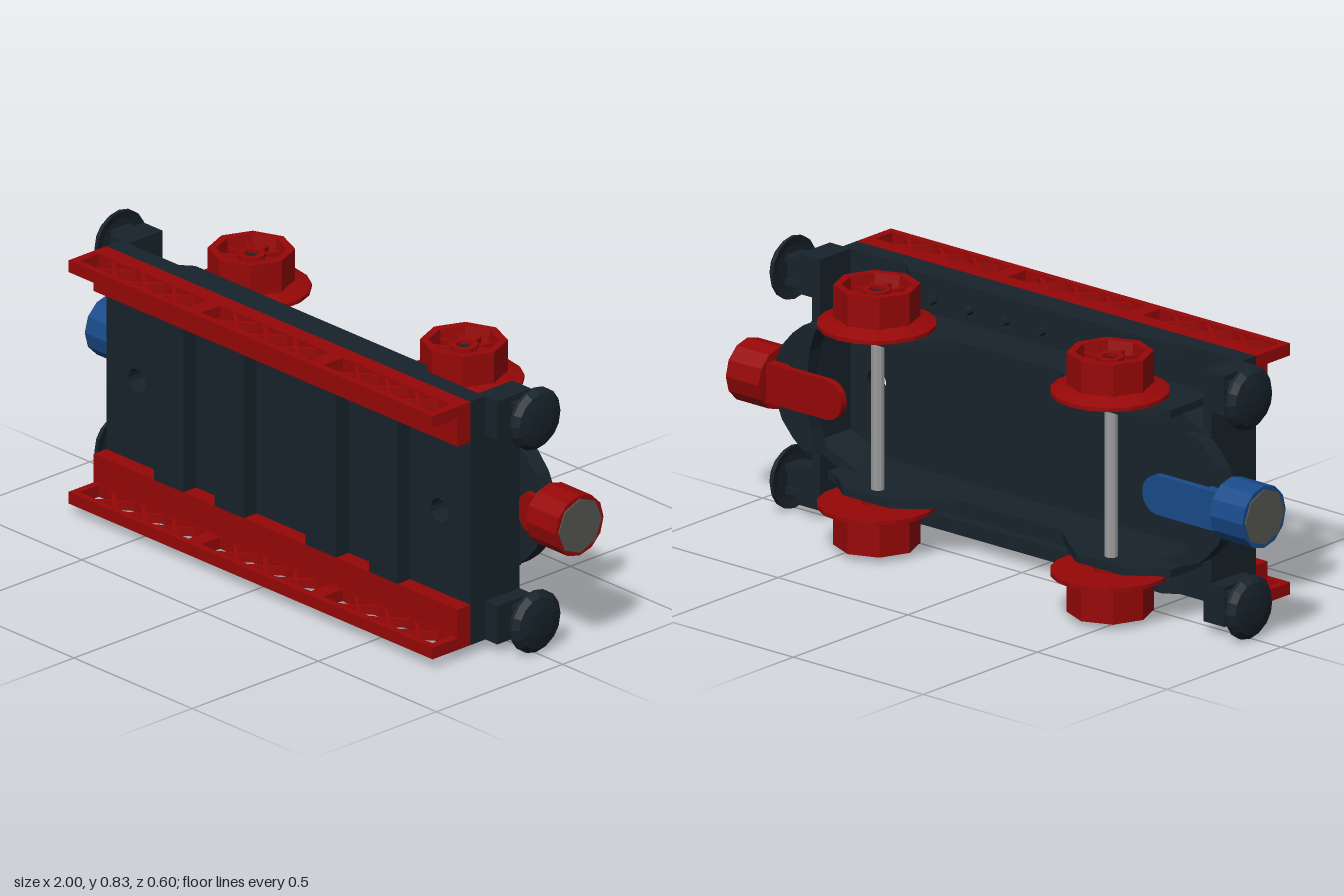
import * as THREE from 'three';

const C = 0.418; // height of the wagon's long axis, the wagon lies on its side
const mat = (color) => new THREE.MeshStandardMaterial({ color, flatShading: true });
const dark = mat(0x17232b), red = mat(0x970707), blue = mat(0x194b8a);
const steel = mat(0x9c9c9c), magnet = mat(0x575852);

function add(parent, name, geo, material, x = 0, y = 0, z = 0) {
  const m = new THREE.Mesh(geo, material);
  m.name = name;
  m.position.set(x, y, z);
  parent.add(m);
  return m;
}

// Box given by its limits on each axis
function box(parent, name, material, [x0, x1], [y0, y1], [z0, z1]) {
  return add(parent, name, new THREE.BoxGeometry(x1 - x0, y1 - y0, z1 - z0), material,
    (x0 + x1) / 2, (y0 + y1) / 2, (z0 + z1) / 2);
}

const poly = (pts) => new THREE.Shape(pts.map(([x, y]) => new THREE.Vector2(x, y)));
const rect = (x0, x1, y0, y1) => poly([[x0, y0], [x1, y0], [x1, y1], [x0, y1]]);

// Outline in x,y extruded along z
function extrudeZ(shape, z0, z1) {
  const g = new THREE.ExtrudeGeometry(shape, { depth: z1 - z0, bevelEnabled: false, curveSegments: 8 });
  return g.translate(0, 0, z0);
}

// Outline in x,z extruded along y
function extrudeY(shape, y0, y1) {
  const g = new THREE.ExtrudeGeometry(shape, { depth: y1 - y0, bevelEnabled: false });
  return g.rotateX(Math.PI / 2).translate(0, y1, 0);
}

const lathe = (pts, n) => new THREE.LatheGeometry(pts.map(([r, y]) => new THREE.Vector2(r, y)), n);
const cylX = (r, x0, x1, n) =>
  new THREE.CylinderGeometry(r, r, x1 - x0, n).rotateZ(-Math.PI / 2).translate((x0 + x1) / 2, 0, 0);

// Bar along x with a rounded inner end
function tongue(x0, x1, r) {
  const s = new THREE.Shape();
  s.moveTo(x1, -r).lineTo(x1, r);
  s.absarc(x0 + r, 0, r, Math.PI / 2, Math.PI * 1.5);
  return s;
}

// Wheel with round flange, eight-sided tread, deep dish and spokes; its axis is y
function makeWheel() {
  const w = new THREE.Group();
  w.name = 'wheel';
  add(w, 'flange', lathe([[0, 0.245], [0.045, 0.245], [0.045, 0.27], [0.175, 0.27], [0.175, 0.282],
    [0.122, 0.3], [0, 0.3]], 18), red);
  add(w, 'tread', lathe([[0.127, 0.285], [0.127, 0.397], [0.102, 0.397], [0.092, 0.335], [0, 0.335]], 8), red);
  for (let i = 0; i < 10; i++) {
    const a = i * Math.PI / 5;
    const spoke = add(w, 'spoke', new THREE.BoxGeometry(0.064, 0.04, 0.014), red,
      Math.cos(a) * 0.066, 0.352, Math.sin(a) * 0.066);
    spoke.rotation.y = -a;
  }
  add(w, 'hub', lathe([[0.042, 0.335], [0.042, 0.383], [0.024, 0.383], [0.024, 0.36], [0, 0.36]], 10), red);
  add(w, 'axleCap', new THREE.CylinderGeometry(0.018, 0.018, 0.02, 8), dark, 0, 0.365, 0);
  return w;
}

// Bumper at the +x end
function makeBumper() {
  const b = new THREE.Group();
  b.name = 'bumper';
  box(b, 'bumperBlock', dark, [0.76, 0.82], [0.262, 0.384], [-0.045, 0.09]);
  box(b, 'bumperShaft', dark, [0.82, 0.885], [0.29, 0.35], [-0.03, 0.02]);
  for (const y of [0.285, 0.355])
    box(b, 'bumperWing', dark, [0.82, 0.88], [y - 0.01, y + 0.01], [-0.04, 0.035]);
  add(b, 'bumperDisc', lathe([[0, 0.878], [0.07, 0.878], [0.096, 0.872], [0.096, 0.883], [0.08, 0.899],
    [0.045, 0.907], [0, 0.91]], 16).rotateZ(-Math.PI / 2), dark, 0, 0.32, -0.005);
  return b;
}

// One long side: red ledge, lattice rail, wheel frame, bolts
function makeSide() {
  const s = new THREE.Group();
  s.name = 'side';
  box(s, 'ledge', red, [-0.77, 0.77], [0.257, 0.384], [0.15, 0.2]);

  const rail = rect(-0.77, 0.77, 0.2, 0.3);
  const bays = [[-0.745, -0.285], [-0.232, 0.232], [0.285, 0.745]];
  for (const [a, b] of bays) rail.holes.push(rect(a, b, 0.203, 0.278));
  add(s, 'rail', extrudeY(rail, 0.347, 0.384), red);
  for (const [a, b] of bays) {
    for (let i = -1; i <= 1; i++) for (const dir of [-1, 1]) {
      const bar = add(s, 'latticeBar', new THREE.BoxGeometry(0.125, 0.026, 0.013), red,
        (a + b) / 2 + i * 0.127, 0.365, 0.24);
      bar.rotation.y = dir * 0.7;
    }
  }

  // Frame plate rising around both axles
  const half = [[0.2, -0.05], [0.3, -0.13], [0.36, -0.172], [0.54, -0.172], [0.62, -0.11], [0.66, -0.1],
    [0.66, 0.1]];
  const frame = poly([...half, ...half.map(([x, z]) => [-x, z]).reverse()]);
  add(s, 'wheelFrame', extrudeY(frame, 0.231, 0.257), dark);

  // Outer lip that hides the row of bolts
  const lip = poly([[-0.54, 0.1], [-0.49, 0.06], [0.49, 0.06], [0.54, 0.1]]);
  add(s, 'lip', extrudeY(lip, 0.34, 0.384), dark);
  for (let i = 0; i < 7; i++)
    add(s, 'bolt', new THREE.CylinderGeometry(0.014, 0.014, 0.03, 8).rotateX(Math.PI / 2), dark,
      -0.42 + i * 0.14, 0.3, 0.08);

  for (const x of [-0.45, 0.45]) {
    const w = makeWheel();
    w.position.set(x, 0, -0.125);
    s.add(w);
  }
  for (const d of [1, -1]) {
    const b = makeBumper();
    b.scale.x = d;
    s.add(b);
  }
  return s;
}

// Round end apron and coupler at the +x end
function makeEnd(color) {
  const e = new THREE.Group();
  e.name = 'end';
  const apron = poly([[0.71, -0.192], [0.76, -0.192], [0.8, -0.16], [0.84, -0.115], [0.865, -0.06], [0.872, 0],
    [0.865, 0.06], [0.84, 0.115], [0.8, 0.16], [0.76, 0.192], [0.71, 0.192], [0.735, 0.12], [0.748, 0], [0.735, -0.12]]);
  add(e, 'apron', extrudeZ(apron, -0.096, -0.045), dark);

  const c = new THREE.Group();
  c.name = 'coupler';
  e.add(c);
  add(c, 'couplerArm', extrudeZ(tongue(0.58, 0.9, 0.06), -0.132, -0.108), color);
  add(c, 'couplerNeck', extrudeZ(poly([[0.79, -0.035], [0.815, -0.06], [0.9, -0.06], [0.9, 0.06], [0.815, 0.06],
    [0.79, 0.035]]), -0.11, -0.025), color);
  add(c, 'couplerHead', cylX(0.095, 0.87, 0.996, 12), color, 0, 0, -0.071);
  add(c, 'magnet', cylX(0.085, 0.98, 1.0, 8), magnet, 0, 0, -0.071);
  return e;
}

export function createModel() {
  const model = new THREE.Group();
  model.name = 'wagon';
  const body = new THREE.Group();
  body.name = 'body';
  body.position.y = C;
  model.add(body);

  // Deck with the two pin holes
  const deck = rect(-0.77, 0.77, -0.384, 0.384);
  for (const x of [-0.64, 0.64]) deck.holes.push(new THREE.Path().absarc(x, 0, 0.037, 0, Math.PI * 2));
  add(body, 'deck', extrudeZ(deck, 0.09, 0.15), dark);
  for (const [a, b] of [[-0.515, -0.39], [-0.26, -0.135], [0.125, 0.255], [0.395, 0.515]])
    box(body, 'deckRib', dark, [a, b], [-0.258, 0.258], [0.15, 0.2]);

  // Hollow chassis tub under the deck, narrowing at the ends
  const outline = (l, m, w, n) => [[-l, -n], [-m, -w], [m, -w], [l, -n], [l, n], [m, w], [-m, w], [-l, n]];
  const tub = poly(outline(0.77, 0.6, 0.257, 0.19));
  tub.holes.push(poly(outline(0.745, 0.59, 0.228, 0.165)));
  add(body, 'chassisTub', extrudeZ(tub, -0.05, 0.095), dark);
  for (const d of [1, -1])
    box(body, 'endWall', dark, d > 0 ? [0.74, 0.77] : [-0.77, -0.74], [-0.384, 0.384], [-0.045, 0.1]);

  for (const x of [-0.45, 0.45])
    add(body, 'axle', new THREE.CylinderGeometry(0.02, 0.02, 0.52, 10), steel, x, 0, -0.12);

  for (const d of [1, -1]) {
    const side = makeSide();
    side.scale.y = d;
    const end = makeEnd(d > 0 ? red : blue);
    end.scale.x = d;
    body.add(side, end);
  }
  return model;
}
